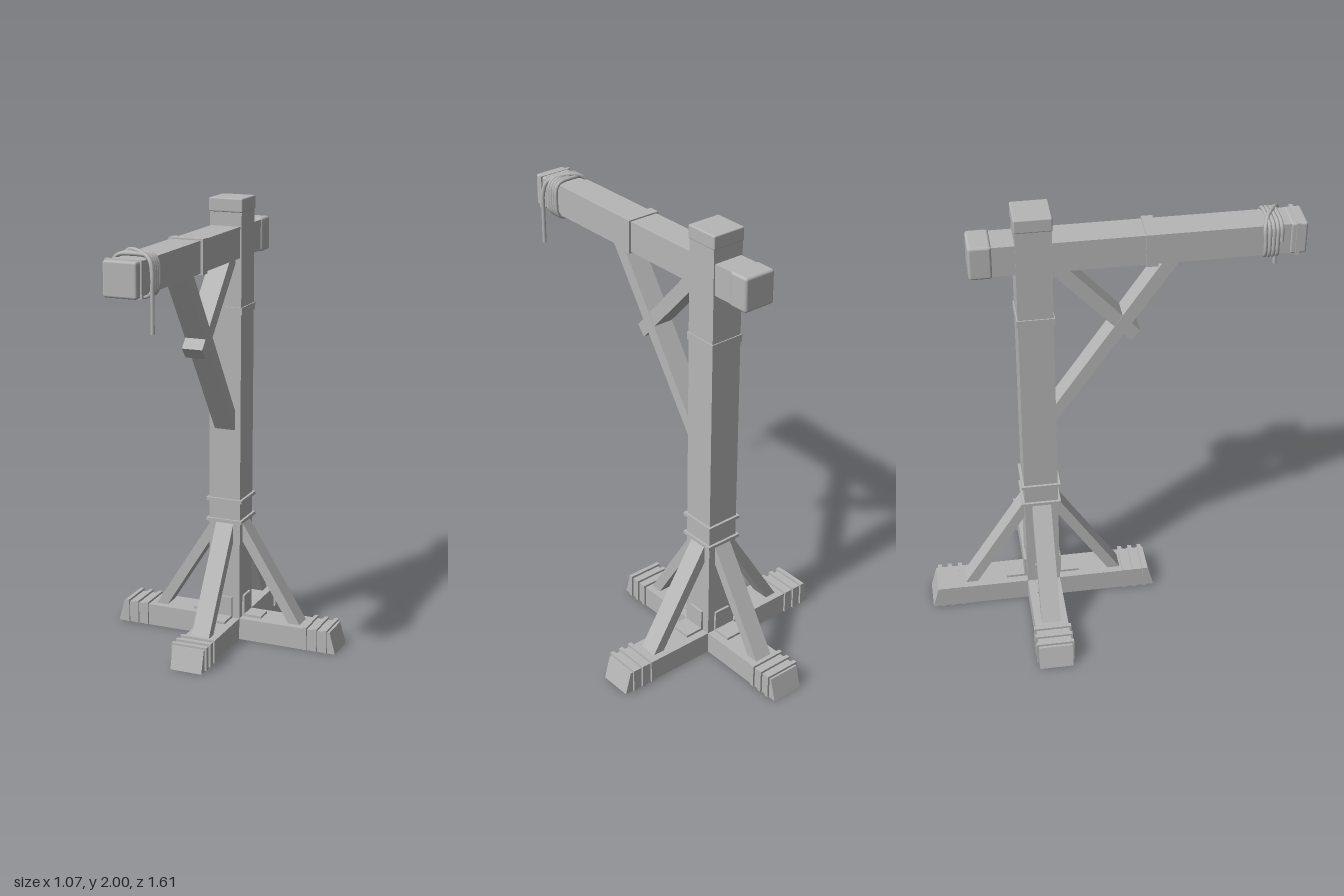
import * as THREE from 'three';
import { RoundedBoxGeometry } from 'three/addons/geometries/RoundedBoxGeometry.js';

const timber = new THREE.MeshStandardMaterial({ color: 0xb6b6b6 });
timber.name = 'grey timber';

function add(parent, name, geometry, x = 0, y = 0, z = 0) {
  const mesh = new THREE.Mesh(geometry, timber);
  mesh.name = name;
  mesh.position.set(x, y, z);
  parent.add(mesh);
  return mesh;
}

function box(parent, name, w, h, d, x, y, z) {
  return add(parent, name, new THREE.BoxGeometry(w, h, d), x, y, z);
}

// Prism from a side outline of [across, up] points, centred on its thickness
function prism(points, thickness) {
  const shape = new THREE.Shape(points.map(([a, b]) => new THREE.Vector2(a, b)));
  return new THREE.ExtrudeGeometry(shape, { depth: thickness, bevelEnabled: false })
    .translate(0, 0, -thickness / 2);
}

// One foot, pointing along +x, with straps, brace and corner bracket
function makeFoot(length) {
  const foot = new THREE.Group();
  foot.name = 'foot';
  const k = length / 0.533;
  add(foot, 'footBeam', prism([[0, 0], [length, 0], [length - 0.027, 0.1], [0, 0.1]], 0.147));
  for (const x of [0.39, 0.439, 0.486]) {
    box(foot, 'footStrap', 0.018, 0.107, 0.165, x * k, 0.0565, 0);
  }
  add(foot, 'footBrace', prism([[0.3, 0.098], [0.354, 0.098], [0.072, 0.55], [0.072, 0.463]], 0.083));
  box(foot, 'bracketPlate', 0.1, 0.012, 0.078, 0.115, 0.105, 0);
  box(foot, 'bracketUpright', 0.012, 0.1, 0.078, 0.078, 0.15, 0);
  return foot;
}

// Rope coiled round the arm, crossing over the top, with a hanging end
function makeRope() {
  const points = [];
  const turns = 4, steps = 24;
  const squircle = (t) => {
    const c = Math.cos(t), s = Math.sin(t);
    return [
      0.083 * Math.sign(c) * Math.abs(c) ** 0.5,
      1.815 + 0.082 * Math.sign(s) * Math.abs(s) ** 0.5,
    ];
  };
  for (let i = 0; i <= turns * steps; i++) {
    const [x, y] = squircle(Math.PI - i / steps * Math.PI * 2);
    points.push(new THREE.Vector3(x, y, 0.7 - 0.065 * i / (turns * steps)));
  }
  for (const p of [[-0.075, 1.87, 0.632], [-0.04, 1.903, 0.645], [0.03, 1.903, 0.685],
    [0.078, 1.88, 0.712], [0.093, 1.83, 0.723], [0.094, 1.75, 0.725], [0.094, 1.6, 0.725]]) {
    points.push(new THREE.Vector3(...p));
  }
  const curve = new THREE.CatmullRomCurve3(points);
  const rope = new THREE.Group();
  rope.name = 'rope';
  add(rope, 'ropeCoil', new THREE.TubeGeometry(curve, 320, 0.0085, 8));
  add(rope, 'ropeEnd', new THREE.CylinderGeometry(0.0085, 0.0085, 0.004, 8), 0.094, 1.601, 0.725);
  return rope;
}

export function createModel() {
  const model = new THREE.Group();
  model.name = 'hoistPost';

  // Base and post, centred on the post's own axis
  const stand = new THREE.Group();
  stand.name = 'stand';
  stand.position.set(-0.003, 0, -0.296);
  model.add(stand);
  for (let i = 0; i < 4; i++) {
    const foot = makeFoot(i % 2 ? 0.508 : 0.533);
    foot.rotation.y = i * Math.PI / 2;
    stand.add(foot);
  }
  box(stand, 'post', 0.147, 1.94, 0.147, 0, 0.975, 0);
  add(stand, 'postCap', new RoundedBoxGeometry(0.155, 0.06, 0.155, 2, 0.006), 0, 1.97, 0);
  for (const y of [0.56, 0.656]) box(stand, 'postCollar', 0.17, 0.014, 0.17, 0, y, 0);
  box(stand, 'postBand', 0.157, 0.032, 0.157, 0, 1.516, 0);

  // Arm with its end caps and band
  const arm = new THREE.Group();
  arm.name = 'arm';
  arm.position.set(-0.003, 1.814, 0);
  model.add(arm);
  box(arm, 'armBeam', 0.134, 0.134, 1.33, 0, 0, 0.13);
  add(arm, 'armFrontCap', new RoundedBoxGeometry(0.142, 0.142, 0.07, 2, 0.01), 0, 0, 0.773);
  box(arm, 'armFrontBand', 0.155, 0.146, 0.016, 0, 0, 0.768);
  add(arm, 'armBackCap', new RoundedBoxGeometry(0.148, 0.148, 0.095, 2, 0.012), 0, 0, -0.508);
  box(arm, 'armMiddleBand', 0.154, 0.146, 0.048, 0, 0, 0.177);

  // Diagonal braces under the arm; outlines are in [z, y]
  const braces = [
    ['armBrace', [[0.304, 1.75], [0.233, 1.75], [-0.228, 1.062], [-0.228, 0.975]], 0.096],
    ['crossBrace', [[-0.165, 1.75], [-0.235, 1.75], [-0.235, 1.735], [0.1, 1.37], [0.137, 1.415]], 0.092],
  ];
  for (const [name, outline, thickness] of braces) {
    add(model, name, prism(outline, thickness), -0.003, 0, 0).rotation.y = -Math.PI / 2;
  }

  model.add(makeRope());
  return model;
}
